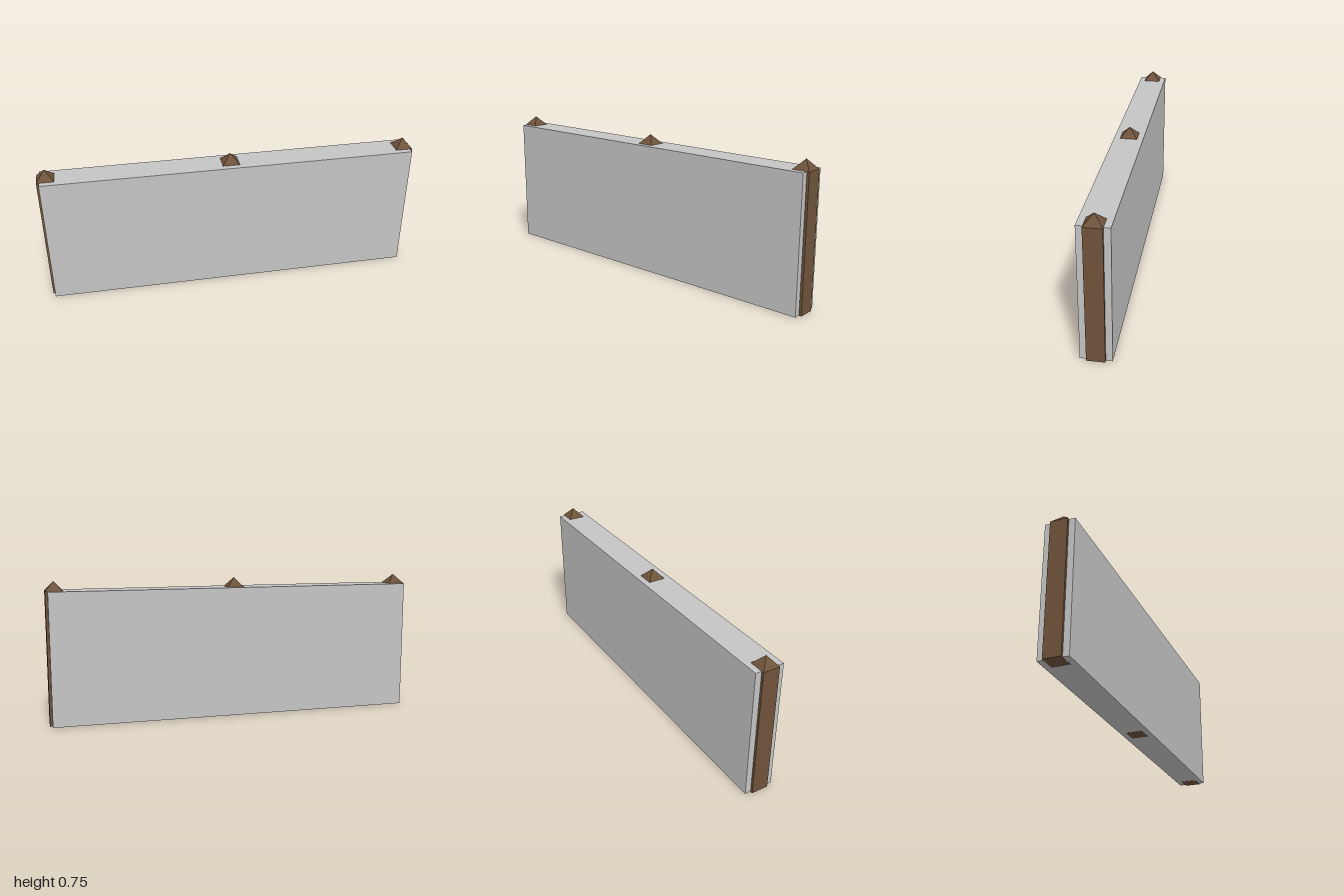
import * as THREE from 'three';

export function createModel() {
  const model = new THREE.Group();
  model.name = 'wallSection';

  const stone = new THREE.MeshStandardMaterial({ color: 0xc4c4c4 });
  stone.name = 'pale grey';
  const wood = new THREE.MeshStandardMaterial({ color: 0x6f533b });
  wood.name = 'wood brown';

  const height = 0.7, postSize = 0.09, capHeight = 0.05, lift = 0.001;

  // Wall slab, raised a hair so the post feet show underneath
  const slab = new THREE.Mesh(new THREE.BoxGeometry(1.974, height - lift, 0.154), stone);
  slab.name = 'wallPanel';
  slab.position.y = (height + lift) / 2;
  model.add(slab);

  // Square posts with pyramid caps, at both ends and the middle
  const postGeometry = new THREE.BoxGeometry(postSize, height, postSize);
  const capGeometry = new THREE.ConeGeometry(postSize / Math.SQRT2, capHeight, 4)
    .rotateY(Math.PI / 4)
    .toNonIndexed();
  capGeometry.computeVertexNormals();

  const names = ['rightPost', 'middlePost', 'leftPost'];
  [-0.955, 0, 0.955].forEach((x, i) => {
    const group = new THREE.Group();
    group.name = names[i];
    group.position.x = x;
    const post = new THREE.Mesh(postGeometry, wood);
    post.name = 'postShaft';
    post.position.y = height / 2;
    const cap = new THREE.Mesh(capGeometry, wood);
    cap.name = 'postCap';
    cap.position.y = height + capHeight / 2;
    group.add(post, cap);
    model.add(group);
  });

  return model;
}
